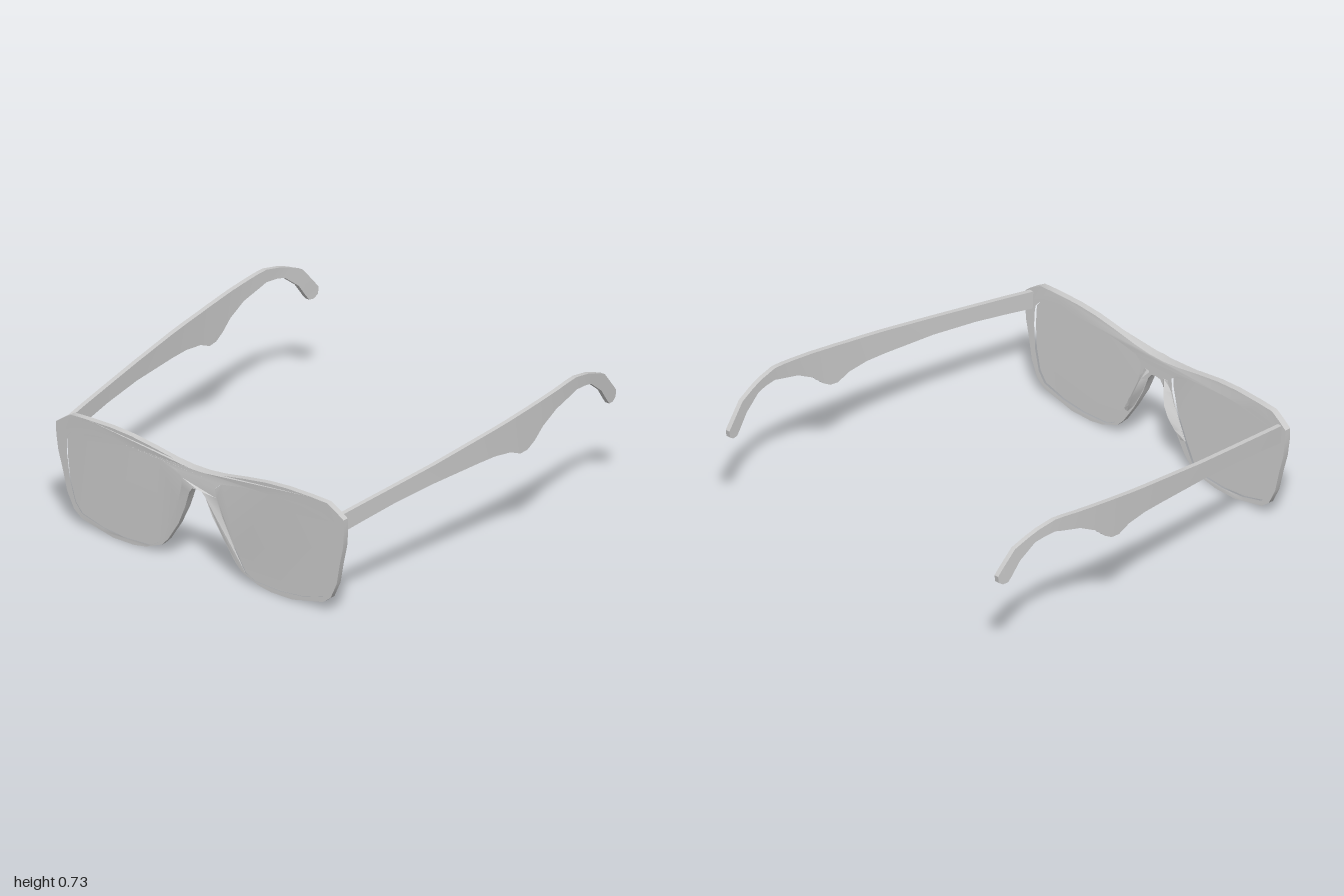
import * as THREE from 'three';
import { toCreasedNormals } from 'three/addons/utils/BufferGeometryUtils.js';

const material = new THREE.MeshStandardMaterial({ color: 0xcccccc });

// Half outlines (x, y) of the front frame and of one lens
const FRAME = [[0, .53], [.05, .53], [.15, .54], [.28, .562], [.42, .582], [.55, .59], [.7, .588], [.8, .583],
  [.85, .553], [.897, .52], [.897, .455], [.888, .37], [.865, .28], [.84, .164], [.8, .08], [.75, .042],
  [.62, .014], [.56, 0], [.43, 0], [.35, .014], [.25, .055], [.21, .095], [.14, .2], [.085, .307],
  [.05, .4], [.03, .425], [0, .43]];
const LENS = [[.105, .46], [.14, .49], [.27, .513], [.46, .524], [.64, .52], [.8, .495], [.83, .46], [.832, .36],
  [.82, .23], [.79, .12], [.75, .07], [.62, .035], [.48, .022], [.325, .03], [.27, .06], [.21, .165],
  [.14, .307], [.108, .41]];

// Temple stations from hinge to tip: upper z, y and lower z, y
const TEMPLE = [[.955, .532, .955, .438], [.8, .552, .8, .462], [.6, .576, .6, .49], [.35, .606, .35, .511],
  [.05, .645, .05, .52], [-.06, .658, -.06, .52], [-.17, .671, -.17, .505], [-.25, .682, -.24, .475],
  [-.3, .688, -.29, .48], [-.35, .695, -.34, .51], [-.42, .704, -.4, .565], [-.52, .716, -.5, .62],
  [-.6, .726, -.61, .65], [-.66, .73, -.66, .665], [-.76, .711, -.73, .66], [-.82, .69, -.78, .65],
  [-.9, .655, -.87, .58], [-.97, .572, -.92, .51], [-1, .535, -.94, .485], [-.995, .5, -.97, .483]];
// Outer x of the temple against z
const BOW = [[.96, .868], [.4, .935], [0, .97], [-.4, .987], [-.65, .98], [-.8, .966], [-1, .94]];

// Nose pad stations: y, nose edge x, ridge x, lens edge x, ridge depth
const PAD = [[.44, .04, .06, .105, .004], [.39, .056, .08, .112, .024], [.33, .078, .1, .132, .039],
  [.27, .106, .127, .16, .036], [.21, .137, .158, .19, .02], [.16, .168, .185, .215, .002]];

const shapeOf = (pts) => new THREE.Shape(pts.map(([x, y]) => new THREE.Vector2(x, y)));
const mirror = (pts) => pts.map(([x, y]) => [-x, y]).reverse();

// Depth of the leaning, slightly wrapped front: t = 0 is the back face, 1 the front face
function frontZ(x, y, t) {
  const bridge = .02 * Math.max(0, 1 - (x / .13) ** 2);
  return .928 + .04 * y + t * (.027 + .01 * y) - .008 * x * x + bridge * t;
}

// Plate between depths t0 and t1, bent to the curve of the front
function plate(name, shape, t0, t1) {
  const geo = new THREE.ExtrudeGeometry(shape, { depth: 1, bevelEnabled: false });
  const p = geo.attributes.position;
  for (let i = 0; i < p.count; i++) {
    p.setZ(i, frontZ(p.getX(i), p.getY(i), t0 + (t1 - t0) * p.getZ(i)));
  }
  const mesh = new THREE.Mesh(toCreasedNormals(geo, .6), material);
  mesh.name = name;
  return mesh;
}

// Capped skin over rings of [x, y, z]; side = -1 gives the mirrored part
function loft(name, rings, side) {
  const n = rings[0].length, last = (rings.length - 1) * n;
  const verts = rings.flat().flatMap(([x, y, z]) => [x * side, y, z]);
  const index = [];
  const tri = (a, b, c) => (side > 0 ? index.push(a, b, c) : index.push(a, c, b));
  for (let i = 0; i < last; i += n) {
    for (let j = 0; j < n; j++) {
      const k = (j + 1) % n;
      tri(i + j, i + k, i + n + k);
      tri(i + j, i + n + k, i + n + j);
    }
  }
  for (let j = 1; j < n - 1; j++) {
    tri(0, j + 1, j);
    tri(last, last + j, last + j + 1);
  }
  const geo = new THREE.BufferGeometry();
  geo.setAttribute('position', new THREE.Float32BufferAttribute(verts, 3));
  geo.setIndex(index);
  const mesh = new THREE.Mesh(toCreasedNormals(geo, .6), material);
  mesh.name = name;
  return mesh;
}

// Smooth bow of the temples, read by z
const bowCurve = new THREE.SplineCurve(BOW.map(([z, x]) => new THREE.Vector2(z, x))).getPoints(120);
function bowX(z) {
  return bowCurve.reduce((a, b) => (Math.abs(b.x - z) < Math.abs(a.x - z) ? b : a)).y;
}

export function createModel() {
  const group = new THREE.Group();
  group.name = 'glasses';

  // Front frame with two lens openings
  const outline = shapeOf([...FRAME, ...mirror(FRAME).slice(1, -1)]);
  outline.holes.push(shapeOf(LENS), shapeOf(mirror(LENS)));
  group.add(plate('frontFrame', outline, 0, 1));

  for (const [side, label] of [[1, 'left'], [-1, 'right']]) {
    // Lens, set a little back from the rim
    group.add(plate(label + 'Lens', shapeOf(side > 0 ? LENS : mirror(LENS)), .4, .85));

    // Temple arm with its hooked ear end
    const arm = TEMPLE.map(([uz, uy, lz, ly]) => {
      const u = bowX(uz), l = bowX(lz), t = .025;
      return [[u - t, uy, uz], [u, uy, uz], [l, ly, lz], [l - t, ly, lz]];
    });
    group.add(loft(label + 'Temple', arm, side));

    // Ridged nose pad behind the bridge
    const pad = PAD.map(([y, a, b, c, d]) => [
      [a, y, frontZ(a, y, .1)], [b, y, frontZ(b, y, 0) - d], [c, y, frontZ(c, y, .1)]]);
    group.add(loft(label + 'NosePad', pad, side));
  }
  return group;
}
